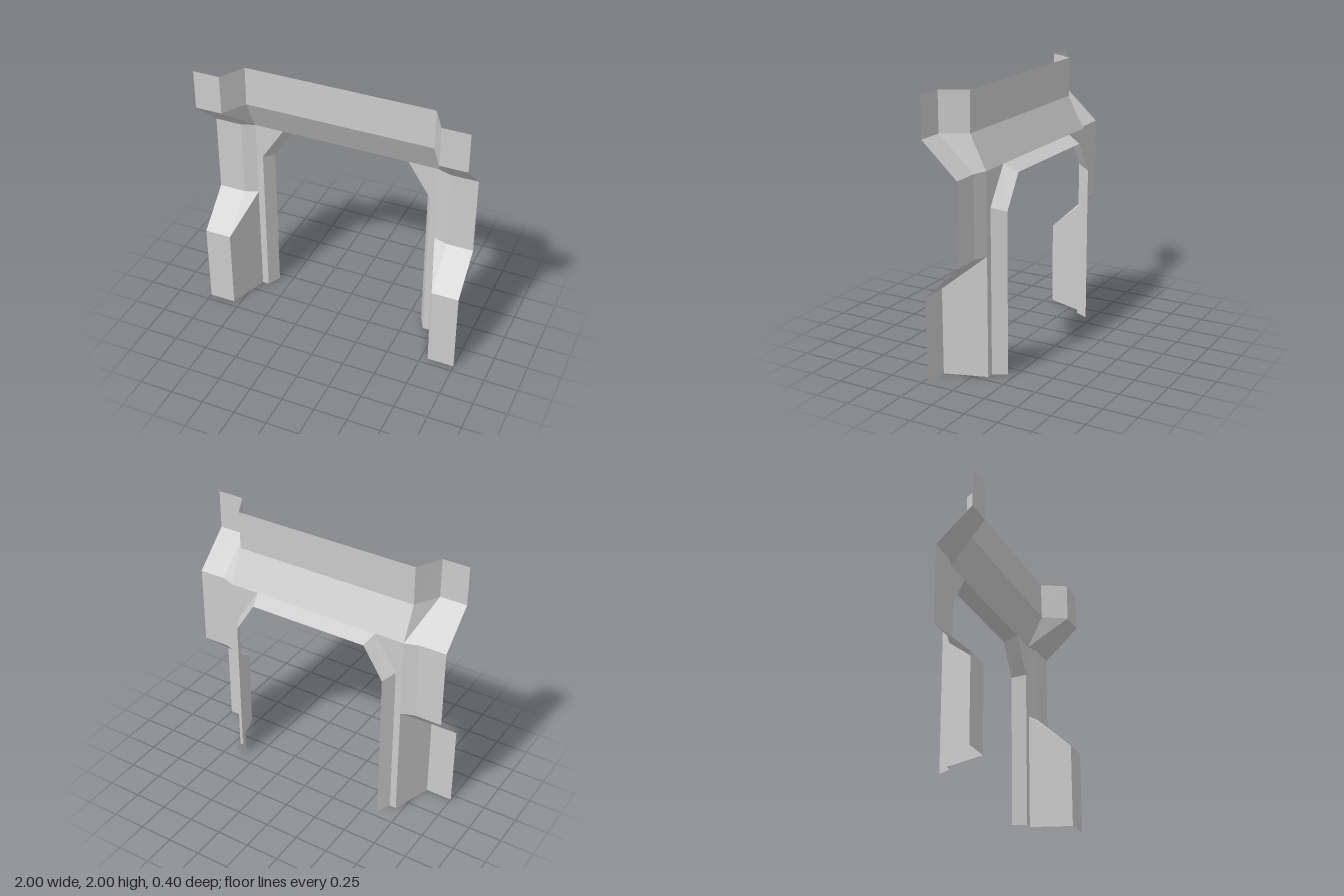
import * as THREE from 'three';

const material = new THREE.MeshStandardMaterial({ color: 0xcccccc, flatShading: true, side: THREE.DoubleSide });

// Mesh from polygons (counter-clockwise seen from the front), each split as a fan
function panel(name, polygons, mirror = 1) {
  const pos = [];
  for (const poly of polygons) {
    for (let i = 1; i < poly.length - 1; i++) {
      const tri = mirror > 0 ? [poly[0], poly[i], poly[i + 1]] : [poly[0], poly[i + 1], poly[i]];
      for (const [x, y, z] of tri) pos.push(x * mirror, y, z);
    }
  }
  const geo = new THREE.BufferGeometry();
  geo.setAttribute('position', new THREE.Float32BufferAttribute(pos, 3));
  geo.computeVertexNormals();
  const mesh = new THREE.Mesh(geo, material);
  mesh.name = name;
  return mesh;
}

// Key heights and depths
const Y1 = 0.63, Y2 = 0.88, Y3 = 1.47, Y4 = 1.71, TOP = 2;
const FRONT = 0.2, WALL = -0.065, FRAME = -0.1, BACK = -0.2, BEAM = 0.02, BEAM_TOP = 0.015;

function createSide(s) {
  const side = new THREE.Group();
  side.name = s > 0 ? 'leftSide' : 'rightSide';

  // Projecting foot: front, inner return and sloped cap
  side.add(panel('pillarBase', [
    [[0.8, 0, FRONT], [1, 0, FRONT], [1, Y1, FRONT], [0.8, Y1, FRONT]],
    [[0.7, 0, FRAME], [0.8, 0, FRONT], [0.8, Y1, FRONT], [0.7, Y2, FRAME]],
    [[0.8, Y1, FRONT], [1, Y1, FRONT], [1, Y2, WALL], [0.8, Y2, WALL], [0.7, Y2, FRAME]],
  ], s));

  // Recessed middle
  side.add(panel('pillarWall', [
    [[0.8, Y2, WALL], [1, Y2, WALL], [1, Y3, WALL], [0.8, Y3, WALL]],
    [[0.7, Y2, FRAME], [0.8, Y2, WALL], [0.8, Y3, WALL], [0.7, Y3, FRAME]],
  ], s));

  // Overhanging head: underside, front and inner return
  side.add(panel('pillarHead', [
    [[0.8, Y4, FRONT], [0.7, Y3, FRAME], [0.8, Y3, WALL], [1, Y3, WALL], [1, Y4, FRONT]],
    [[0.8, Y4, FRONT], [1, Y4, FRONT], [1, TOP, FRONT], [0.8, TOP, FRONT]],
    [[0.7, Y4, BEAM], [0.7, Y3, FRAME], [0.8, Y4, FRONT], [0.8, TOP, FRONT], [0.7, TOP, BEAM_TOP]],
  ], s));

  // Flat door frame with chamfered corner
  side.add(panel('doorFrame', [
    [[0.65, 0, FRAME], [0.7, 0, FRAME], [0.7, 1.21, FRAME], [0.65, 1.21, FRAME]],
    [[0.7, Y3, FRAME], [0.48, Y3, FRAME], [0.65, 1.21, FRAME], [0.7, 1.21, FRAME]],
  ], s));

  // Splayed reveal going back from the frame
  side.add(panel('doorReveal', [
    [[0.6, 0, BACK], [0.65, 0, FRAME], [0.65, 1.21, FRAME], [0.6, 1.18, BACK]],
    [[0.6, 1.18, BACK], [0.65, 1.21, FRAME], [0.48, Y3, FRAME], [0.45, 1.42, BACK]],
  ], s));
  return side;
}

export function createModel() {
  const model = new THREE.Group();
  model.name = 'doorway';
  for (const s of [1, -1]) model.add(createSide(s));

  // Beam across the top: upright face and sloped underside
  model.add(panel('lintel', [
    [[-0.7, Y4, BEAM], [0.7, Y4, BEAM], [0.7, TOP, BEAM_TOP], [-0.7, TOP, BEAM_TOP]],
    [[-0.7, Y3, FRAME], [0.7, Y3, FRAME], [0.7, Y4, BEAM], [-0.7, Y4, BEAM]],
  ]));

  // Top of the door reveal
  model.add(panel('topReveal', [
    [[-0.45, 1.42, BACK], [0.45, 1.42, BACK], [0.48, Y3, FRAME], [-0.48, Y3, FRAME]],
  ]));
  return model;
}
